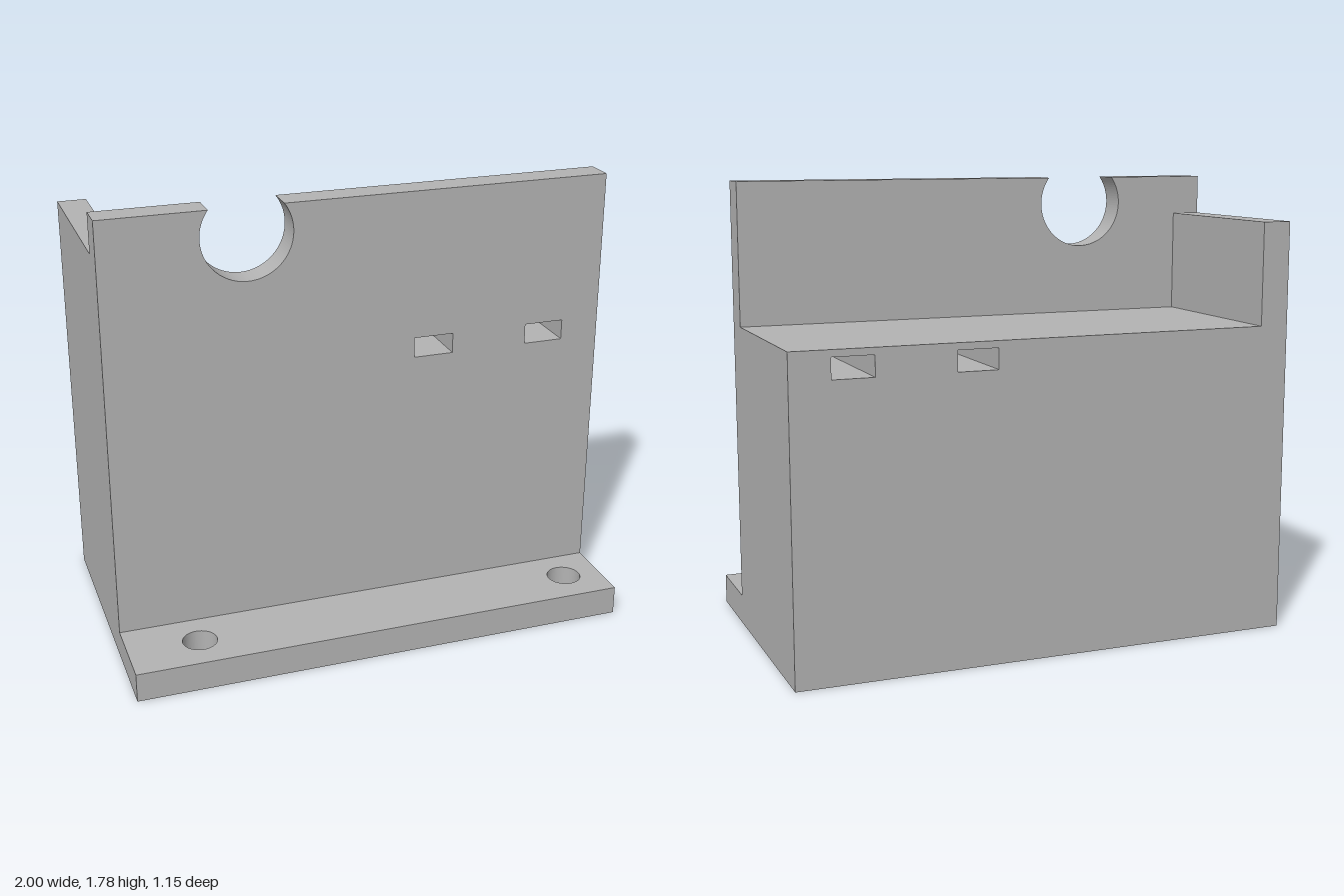
import * as THREE from 'three';

const W = 1, H = 1.785, BACK = -0.577, WALL_BACK = 0.15, WALL_FRONT = 0.265, FRONT = 0.577;

// Closed outline from corner points
function outline(points) {
  return new THREE.Shape(points.map(([x, y]) => new THREE.Vector2(x, y)));
}

// Two small rectangular slots running through the whole depth
function addSlots(shape) {
  for (const x of [0.215, 0.685]) {
    shape.holes.push(new THREE.Path([[x, 1.12], [x, 1.2], [x + 0.16, 1.2], [x + 0.16, 1.12]]
      .map(([px, py]) => new THREE.Vector2(px, py))));
  }
}

function extrude(shape, depth) {
  return new THREE.ExtrudeGeometry(shape, { depth, bevelEnabled: false, curveSegments: 40 });
}

export function createModel() {
  const group = new THREE.Group();
  const grey = new THREE.MeshStandardMaterial({ color: 0xb3b3b3 });
  grey.name = 'grey';
  const add = (name, geometry) => {
    const mesh = new THREE.Mesh(geometry, grey);
    mesh.name = name;
    group.add(mesh);
  };

  // Tall front plate with an open round notch in its top edge
  const cx = -0.445, cy = 1.68, r = 0.177;
  const a = Math.asin((H - cy) / r);
  const plate = new THREE.Shape();
  plate.moveTo(-W, 0);
  plate.lineTo(W, 0);
  plate.lineTo(W, H);
  plate.lineTo(cx + r * Math.cos(a), H);
  plate.absarc(cx, cy, r, a, Math.PI - a, true);
  plate.lineTo(-W, H);
  plate.closePath();
  addSlots(plate);
  add('frontPlate', extrude(plate, WALL_FRONT - WALL_BACK).translate(0, 0, WALL_BACK));

  // Solid block with the raised wall along its right side
  const block = outline([[-W, 0], [W, 0], [W, 1.227], [-0.885, 1.227], [-0.885, 1.63], [-W, 1.63]]);
  addSlots(block);
  add('bodyWithSideWall', extrude(block, WALL_BACK - BACK).translate(0, 0, BACK));

  // Mounting flange with two screw holes
  const flange = outline([[-W, -FRONT], [W, -FRONT], [W, -WALL_FRONT], [-W, -WALL_FRONT]]);
  for (const x of [-0.715, 0.845]) {
    flange.holes.push(new THREE.Path().absarc(x, -0.418, 0.068, 0, Math.PI * 2, true));
  }
  add('mountingFlange', extrude(flange, 0.117).rotateX(-Math.PI / 2));

  return group;
}
